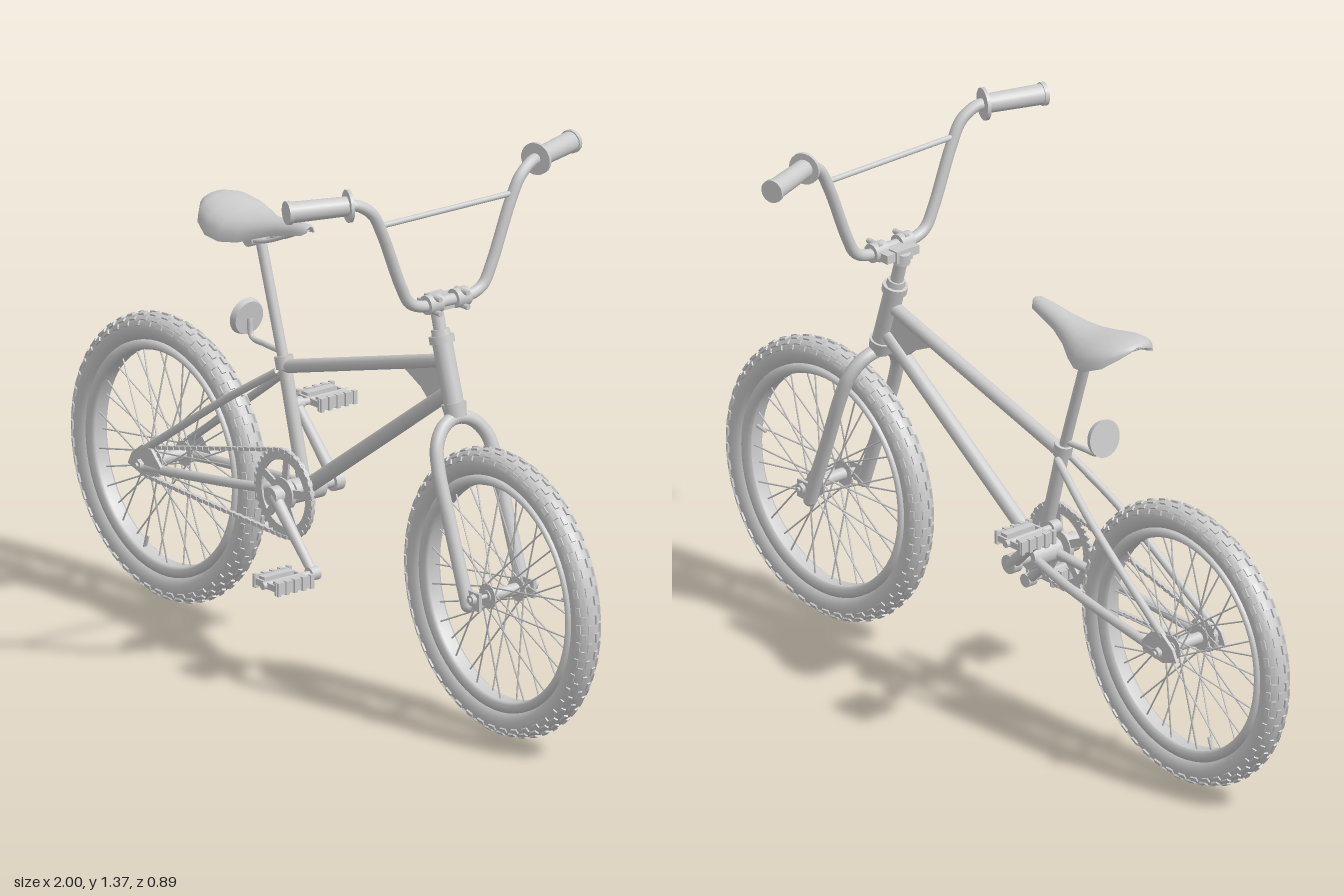
import * as THREE from 'three';
import { mergeGeometries } from 'three/addons/utils/BufferGeometryUtils.js';

const grey = new THREE.MeshStandardMaterial({ color: 0xcccccc });
const thin = new THREE.MeshStandardMaterial({ color: 0xcccccc, side: THREE.DoubleSide });
const V = (p) => new THREE.Vector3(...p);
const mirrorZ = ([x, y, z]) => [x, y, -z];

function add(parent, name, geo, mat = grey) {
  const m = new THREE.Mesh(geo, mat);
  m.name = name;
  parent.add(m);
  return m;
}
// Cylinder between two points
function rod(a, b, r0, r1 = r0, seg = 16) {
  const A = V(a), d = V(b).sub(A), len = d.length();
  const g = new THREE.CylinderGeometry(r1, r0, len, seg).translate(0, len / 2, 0);
  g.applyQuaternion(new THREE.Quaternion().setFromUnitVectors(new THREE.Vector3(0, 1, 0), d.normalize()));
  return g.translate(A.x, A.y, A.z);
}
const bend = (pts, r, n = 32, seg = 12) => new THREE.TubeGeometry(new THREE.CatmullRomCurve3(pts.map(V)), n, r, seg);
const box = (w, h, d, x, y, z) => new THREE.BoxGeometry(w, h, d).translate(x, y, z);
function plate(shape, depth, z) {
  return new THREE.ExtrudeGeometry(shape, { depth, bevelEnabled: false, curveSegments: 20 }).translate(0, 0, z - depth / 2);
}
const poly = (pts) => new THREE.Shape(pts.map(([x, y]) => new THREE.Vector2(x, y)));
const hole = (x, y, r) => new THREE.Path().absarc(x, y, r, 0, Math.PI * 2, true);
function gear(r, depth, teeth, inner) {
  const pts = [];
  for (let i = 0; i < teeth * 4; i++) {
    const a = (i / (teeth * 4)) * Math.PI * 2, q = i % 4 < 2 ? r : r - 0.008;
    pts.push([q * Math.cos(a), q * Math.sin(a)]);
  }
  const s = poly(pts);
  s.holes.push(hole(0, 0, inner));
  return plate(s, depth, 0);
}

function wheel(name, x, valveAngle) {
  const w = new THREE.Group();
  w.name = name;
  w.position.set(x, 0.357, 0);
  const R = 0.319, r = 0.034;
  add(w, 'tyre', new THREE.TorusGeometry(R, r, 16, 72));
  // Staggered rows of tread blocks
  const knobs = [];
  for (let i = 0; i < 48; i++) {
    [-1.15, -0.75, -0.28, 0.28, 0.75, 1.15].forEach((phi, k) => {
      knobs.push(new THREE.BoxGeometry(0.007, 0.022, 0.011).translate(r, 0, 0).rotateY(phi)
        .translate(R, 0, 0).rotateZ(((i + (k % 2) * 0.5) / 48) * Math.PI * 2));
    });
  }
  add(w, 'tread', mergeGeometries(knobs));
  const profile = [[0.266, -0.016], [0.272, -0.024], [0.291, -0.026], [0.291, 0.026], [0.272, 0.024], [0.266, 0.016], [0.266, -0.016]];
  add(w, 'rim', new THREE.LatheGeometry(profile.map((p) => new THREE.Vector2(...p)), 64).rotateX(Math.PI / 2), thin);
  // Crossed spokes from both hub flanges
  const spokes = [];
  for (let i = 0; i < 36; i++) {
    const a = (i / 36) * Math.PI * 2, s = i % 2 ? 1 : -1, b = a + (i % 4 < 2 ? 1.1 : -1.1);
    spokes.push(rod([0.026 * Math.cos(b), 0.026 * Math.sin(b), 0.045 * s],
      [0.268 * Math.cos(a), 0.268 * Math.sin(a), 0.006 * s], 0.0022, 0.0022, 5));
  }
  add(w, 'spokes', mergeGeometries(spokes));
  add(w, 'hub', rod([0, 0, -0.05], [0, 0, 0.05], 0.015));
  add(w, 'axle', rod([0, 0, -0.105], [0, 0, 0.105], 0.006));
  for (const s of [-1, 1]) {
    add(w, 'hubFlange', rod([0, 0, 0.042 * s], [0, 0, 0.047 * s], 0.031, 0.031, 24));
    add(w, 'axleNut', rod([0, 0, 0.088 * s], [0, 0, 0.099 * s], 0.014, 0.014, 6));
  }
  const c = Math.cos(valveAngle), q = Math.sin(valveAngle);
  add(w, 'valve', rod([0.235 * c, 0.235 * q, 0], [0.27 * c, 0.27 * q, 0], 0.004, 0.005, 8));
  return w;
}

// Saddle lofted from sections: x, half width, edge height, top height
function saddleGeometry() {
  const rows = [[-0.468, 0.02, 1.063, 1.07], [-0.46, 0.052, 1.05, 1.078], [-0.43, 0.083, 1.025, 1.083], [-0.385, 0.097, 1.007, 1.078],
    [-0.34, 0.091, 1.0, 1.069], [-0.295, 0.07, 1.005, 1.065], [-0.25, 0.048, 1.022, 1.068], [-0.2, 0.034, 1.04, 1.074],
    [-0.14, 0.026, 1.054, 1.083], [-0.11, 0.021, 1.06, 1.085], [-0.1, 0.01, 1.068, 1.081]];
  const n = 24, pos = [], idx = [];
  rows.forEach(([x, w, e, t], i) => {
    for (let j = 0; j < n; j++) {
      const a = (j / n) * Math.PI * 2, up = Math.cos(a);
      pos.push(x, e + (t - e) * (up > 0 ? Math.pow(up, 0.8) : -up * 0.35), w * Math.sin(a));
      if (i) {
        const k = (j + 1) % n, p = (i - 1) * n, q = i * n;
        idx.push(p + j, p + k, q + j, p + k, q + k, q + j);
      }
    }
  });
  const g = new THREE.BufferGeometry();
  g.setAttribute('position', new THREE.Float32BufferAttribute(pos, 3));
  g.setIndex(idx);
  g.computeVertexNormals();
  return g;
}

function crankSide(parent, s, x, y) {
  const bb = [-0.12, 0.417, 0.093 * s], end = [x, y, 0.1 * s];
  add(parent, 'crankArm', rod(bb, end, 0.016, 0.012));
  for (const [p, r] of [[bb, 0.024], [end, 0.017]])
    add(parent, 'crankBoss', rod([p[0], p[1], p[2] - 0.013], [p[0], p[1], p[2] + 0.013], r));
  const pedal = new THREE.Group();
  pedal.name = 'pedal';
  pedal.position.set(x, y, 0.19 * s);
  add(pedal, 'spindle', rod([0, 0, -0.09 * s], [0, 0, 0.065 * s], 0.009));
  for (const e of [-1, 1]) {
    add(pedal, 'pedalEndPlate', box(0.084, 0.016, 0.006, 0, 0, e * 0.052));
    add(pedal, 'pedalCage', box(0.006, 0.03, 0.115, e * 0.042, 0, 0));
    add(pedal, 'pedalTread', box(0.022, 0.026, 0.09, e * 0.027, 0, 0));
    for (let i = -2; i <= 2; i++) add(pedal, 'pedalTooth', box(0.012, 0.034, 0.01, e * 0.044, 0, i * 0.025));
  }
  parent.add(pedal);
}

// Chain links spaced round the two sprockets
function chainGeometry() {
  const c1 = [-0.643, 0.357], c2 = [-0.12, 0.417], r1 = 0.036, r2 = 0.108;
  const dx = c2[0] - c1[0], dy = c2[1] - c1[1], base = Math.atan2(dy, dx);
  const a = Math.acos(-(r2 - r1) / Math.hypot(dx, dy));
  const path = new THREE.Path();
  path.absarc(...c2, r2, base + a, base - a, true);
  path.absarc(...c1, r1, base - a, base + a, true);
  path.closePath();
  const pts = path.getSpacedPoints(130);
  return mergeGeometries(pts.slice(0, -1).map((p, i) => {
    const q = pts[i + 1];
    return new THREE.BoxGeometry(p.distanceTo(q) * 1.1, 0.009, i % 2 ? 0.008 : 0.013)
      .rotateZ(Math.atan2(q.y - p.y, q.x - p.x)).translate((p.x + q.x) / 2, (p.y + q.y) / 2, 0.063);
  }));
}

export function createModel() {
  const bike = new THREE.Group();
  bike.name = 'bicycle';
  bike.add(wheel('rearWheel', -0.643, -1.93), wheel('frontWheel', 0.643, 0.19));

  // Frame
  const frame = new THREE.Group();
  frame.name = 'frame';
  bike.add(frame);
  add(frame, 'seatTube', rod([-0.12, 0.417, 0], [-0.203, 0.725, 0], 0.017));
  add(frame, 'topTube', rod([-0.195, 0.705, 0], [0.415, 0.882, 0], 0.017));
  add(frame, 'downTube', rod([-0.12, 0.417, 0], [0.44, 0.81, 0], 0.019));
  add(frame, 'headTube', rod([0.409, 0.93, 0], [0.457, 0.775, 0], 0.025, 0.025, 24));
  add(frame, 'bottomBracket', rod([-0.12, 0.417, -0.045], [-0.12, 0.417, 0.045], 0.03, 0.03, 24));
  const gusset = poly([[0.25, 0.835], [0.41, 0.88], [0.44, 0.8], [0.37, 0.765], [0.335, 0.795]]);
  gusset.holes.push(hole(0.338, 0.826, 0.013), hole(0.377, 0.822, 0.016));
  add(frame, 'gusset', plate(gusset, 0.012, 0));
  const dropout = poly([[-0.7, 0.345], [-0.685, 0.375], [-0.645, 0.405], [-0.61, 0.4], [-0.575, 0.365], [-0.58, 0.34], [-0.65, 0.33]]);
  for (const s of [-1, 1]) {
    add(frame, 'seatStay', bend([[-0.2, 0.695, 0.02 * s], [-0.35, 0.596, 0.05 * s], [-0.645, 0.392, 0.074 * s]], 0.01));
    add(frame, 'chainStay', bend([[-0.13, 0.415, 0.032 * s], [-0.3, 0.39, 0.053 * s], [-0.64, 0.347, 0.074 * s]], 0.012));
    add(frame, 'dropout', plate(dropout, 0.008, 0.078 * s));
  }

  // Fork: two legs joined by a rounded crown
  const fork = new THREE.Group();
  fork.name = 'fork';
  bike.add(fork);
  const leg = [[0.466, 0.752, 0], [0.472, 0.738, 0.045], [0.486, 0.7, 0.076], [0.505, 0.645, 0.086], [0.55, 0.52, 0.086], [0.617, 0.335, 0.086]];
  add(fork, 'forkLegs', bend([...leg.slice(1).reverse().map(mirrorZ), ...leg], 0.017, 80));
  for (const s of [-1, 1]) {
    add(fork, 'legCap', new THREE.SphereGeometry(0.017, 12, 8).translate(0.617, 0.335, 0.086 * s));
    add(fork, 'forkDropout', box(0.055, 0.045, 0.009, 0.635, 0.352, 0.083 * s));
  }
  add(fork, 'lowerHeadset', rod([0.454, 0.785, 0], [0.464, 0.752, 0], 0.031, 0.026, 24));
  add(fork, 'upperHeadset', rod([0.411, 0.925, 0], [0.406, 0.943, 0], 0.031, 0.031, 24));
  add(fork, 'headsetNut', rod([0.406, 0.943, 0], [0.402, 0.958, 0], 0.024, 0.022, 8));

  // Stem and handlebar
  const bars = new THREE.Group();
  bars.name = 'handlebarAssembly';
  bike.add(bars);
  add(bars, 'stemQuill', rod([0.405, 0.945, 0], [0.382, 1.025, 0], 0.016));
  add(bars, 'stemCap', rod([0.387, 1.01, 0], [0.38, 1.037, 0], 0.023, 0.019));
  add(bars, 'stemBody', box(0.06, 0.03, 0.05, 0.402, 1.03, 0));
  const half = [[0.425, 1.036, 0], [0.425, 1.036, 0.075], [0.425, 1.053, 0.112], [0.425, 1.1, 0.138], [0.425, 1.245, 0.195],
    [0.424, 1.302, 0.226], [0.416, 1.329, 0.268], [0.408, 1.33, 0.294], [0.362, 1.33, 0.43]];
  add(bars, 'handlebar', bend([...half.slice(1).reverse().map(mirrorZ), ...half], 0.0145, 120));
  add(bars, 'crossbar', rod([0.425, 1.265, -0.2], [0.425, 1.265, 0.2], 0.007));
  for (const s of [-1, 1]) {
    add(bars, 'barClamp', rod([0.425, 1.036, 0.022 * s], [0.425, 1.036, 0.062 * s], 0.024));
    add(bars, 'clampArm', box(0.045, 0.022, 0.03, 0.4, 1.03, 0.036 * s));
    for (const y of [1.018, 1.054]) add(bars, 'clampBolt', rod([0.41, y, 0.042 * s], [0.458, y, 0.042 * s], 0.007, 0.007, 6));
    add(bars, 'grip', rod([0.41, 1.33, 0.288 * s], [0.361, 1.33, 0.432 * s], 0.024, 0.026, 20));
    add(bars, 'gripFlange', rod([0.412, 1.33, 0.282 * s], [0.409, 1.33, 0.29 * s], 0.04, 0.04, 24));
    add(bars, 'gripEnd', rod([0.363, 1.33, 0.426 * s], [0.36, 1.33, 0.436 * s], 0.029, 0.029, 20));
  }

  // Saddle and seat post
  const seat = new THREE.Group();
  seat.name = 'seat';
  bike.add(seat);
  add(seat, 'saddle', saddleGeometry(), thin);
  add(seat, 'seatPost', rod([-0.19, 0.68, 0], [-0.3, 1.03, 0], 0.0135));
  add(seat, 'seatCollar', rod([-0.195, 0.7, 0], [-0.203, 0.73, 0], 0.023));
  add(seat, 'saddleClamp', rod([-0.3, 1.005, -0.035], [-0.3, 1.005, 0.035], 0.019));
  for (const s of [-1, 1])
    add(seat, 'saddleRail', bend([[-0.42, 1.04, 0.05 * s], [-0.35, 1.006, 0.03 * s], [-0.26, 1.008, 0.025 * s], [-0.13, 1.062, 0.008 * s]], 0.005));

  // Rear reflector on its bracket
  add(bike, 'reflectorBracket', bend([[-0.205, 0.738, 0], [-0.27, 0.74, 0], [-0.325, 0.746, 0], [-0.334, 0.79, 0]], 0.007));
  add(bike, 'reflector', rod([-0.35, 0.792, 0], [-0.334, 0.79, 0], 0.047, 0.042, 28));

  // Drivetrain
  const drive = new THREE.Group();
  drive.name = 'drivetrain';
  bike.add(drive);
  add(drive, 'chainring', gear(0.113, 0.006, 36, 0.084).translate(-0.12, 0.417, 0.063));
  add(drive, 'chainringHub', rod([-0.12, 0.417, 0.057], [-0.12, 0.417, 0.07], 0.04, 0.04, 24));
  for (let i = 0; i < 5; i++)
    add(drive, 'chainringArm', box(0.06, 0.02, 0.006, 0.06, 0, 0).rotateZ((i / 5) * Math.PI * 2 + 0.2).translate(-0.12, 0.417, 0.063));
  add(drive, 'sprocket', gear(0.041, 0.006, 16, 0.01).translate(-0.643, 0.357, 0.063));
  add(drive, 'chain', chainGeometry());
  add(drive, 'crankSpindle', rod([-0.12, 0.417, -0.1], [-0.12, 0.417, 0.1], 0.014));
  crankSide(drive, 1, 0.038, 0.265);
  crankSide(drive, -1, -0.278, 0.567);
  return bike;
}
